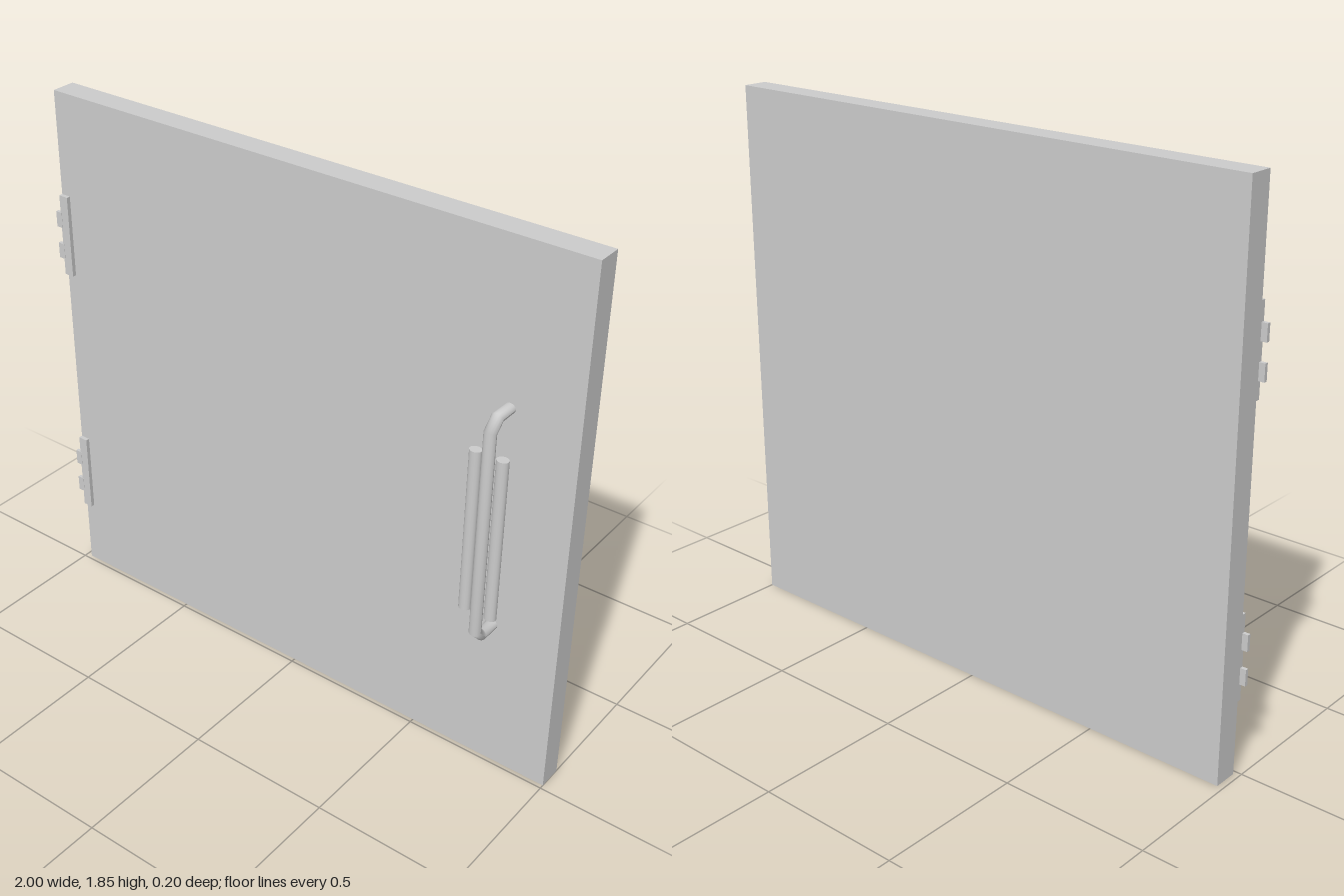
import * as THREE from 'three';

const material = new THREE.MeshStandardMaterial({ color: 0xcccccc });

function add(parent, name, geometry, x = 0, y = 0, z = 0) {
  const mesh = new THREE.Mesh(geometry, material);
  mesh.name = name;
  mesh.position.set(x, y, z);
  parent.add(mesh);
  return mesh;
}

// Round bar swept along a path of [y, z] points, with mitred corners
function mitredBar(path, rx, rz, sides) {
  const points = path.map(([y, z]) => new THREE.Vector2(y, z));
  const positions = [], indices = [];
  points.forEach((p, i) => {
    const before = points[Math.max(i - 1, 0)], after = points[Math.min(i + 1, points.length - 1)];
    const a = (i ? p.clone().sub(before) : after.clone().sub(p)).normalize();
    const b = (i < points.length - 1 ? after.clone().sub(p) : a.clone()).normalize();
    const tangent = a.clone().add(b).normalize();
    const r = rz / tangent.dot(a);
    for (let k = 0; k <= sides; k++) {
      const t = (k / sides) * Math.PI * 2;
      const s = Math.sin(t) * r;
      positions.push(Math.cos(t) * rx, p.x - tangent.y * s, p.y + tangent.x * s);
      if (i && k < sides) {
        const n = sides + 1, q = i * n + k;
        indices.push(q - n, q - n + 1, q, q, q - n + 1, q + 1);
      }
    }
  });
  const geometry = new THREE.BufferGeometry();
  geometry.setAttribute('position', new THREE.Float32BufferAttribute(positions, 3));
  // Rings run from +x toward +z while the path climbs, so flip for outward faces
  for (let i = 0; i < indices.length; i += 3) {
    [indices[i + 1], indices[i + 2]] = [indices[i + 2], indices[i + 1]];
  }
  geometry.setIndex(indices);
  geometry.computeVertexNormals();
  return geometry;
}

export function createModel() {
  const model = new THREE.Group();
  model.name = 'door';

  // Flat door slab
  add(model, 'doorPanel', new THREE.BoxGeometry(1.98, 1.85, 0.085), 0.01, 0.925, -0.0575);

  // Two hinges on the front edge, each a leaf with two small tabs
  for (const y of [0.395, 1.345]) {
    const hinge = new THREE.Group();
    hinge.name = 'hinge';
    hinge.position.y = y;
    add(hinge, 'hingeLeaf', new THREE.BoxGeometry(0.035, 0.29, 0.016), -0.9625, 0, -0.009);
    for (const offset of [-0.06, 0.055]) {
      add(hinge, 'hingeTab', new THREE.BoxGeometry(0.025, 0.055, 0.012), -0.9875, offset, -0.006);
    }
    model.add(hinge);
  }

  // Pull handle: bent bar flanked by two straight rods
  const handle = new THREE.Group();
  handle.name = 'handle';
  handle.position.x = 0.768;
  const path = [
    [0.541, -0.02], [0.541, 0.05], [0.575, 0.084],
    [1.284, 0.084], [1.318, 0.05], [1.318, -0.02],
  ];
  const bar = add(handle, 'handleBar', mitredBar(path, 0.02, 0.017, 16));
  bar.material = material.clone();
  bar.material.side = THREE.DoubleSide;
  for (const side of [-1, 1]) {
    const rod = add(handle, 'gripRod', new THREE.CylinderGeometry(0.02, 0.02, 0.565, 16), side * 0.045, 0.9275, 0.08);
    rod.scale.z = 0.85;
  }
  model.add(handle);

  return model;
}
